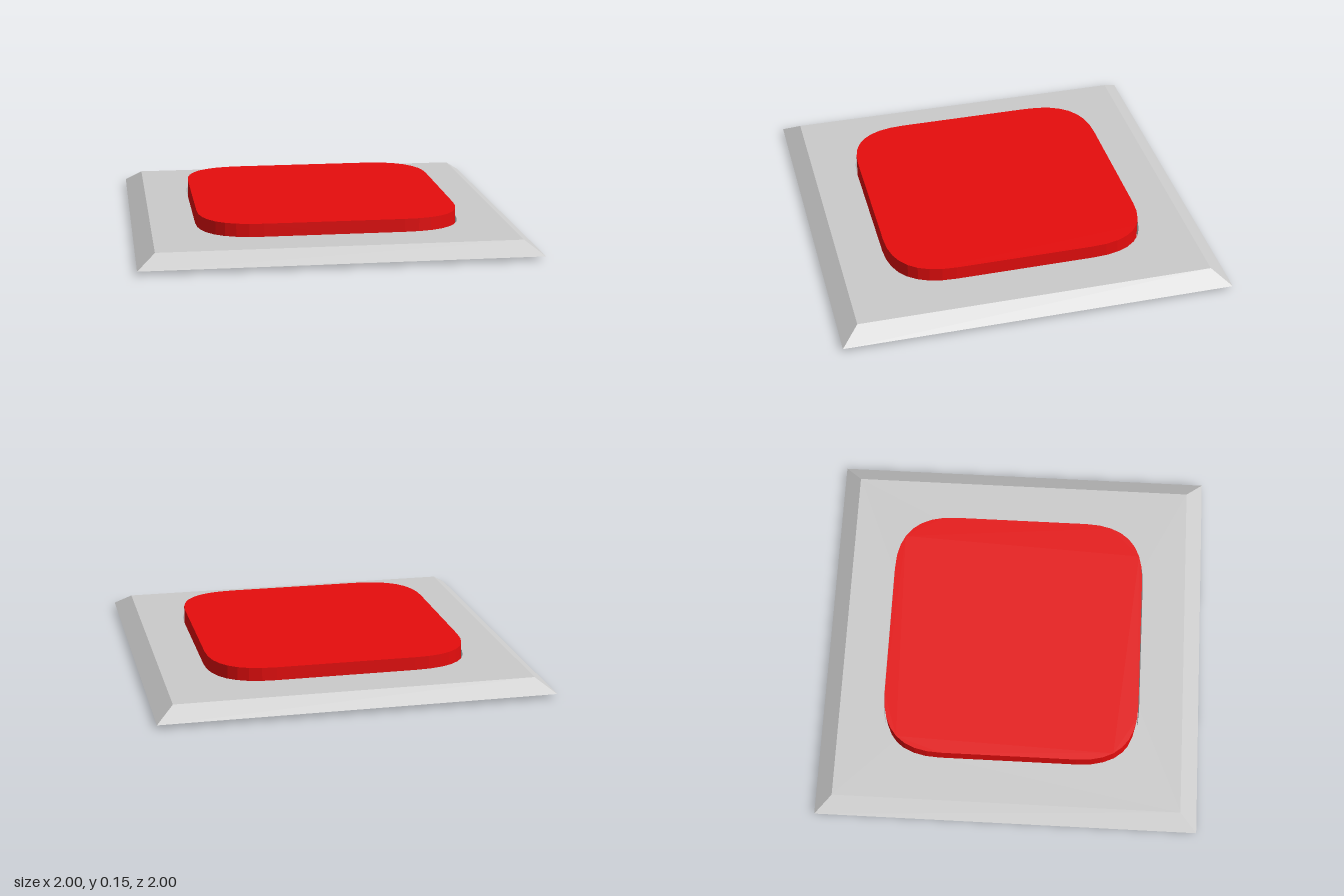
import * as THREE from 'three';

const RIM_Y = 0.02, PLATE_Y = 0.085, BUTTON_Y = 0.15;

// Square outline with soft, parabolic corners
function softSquare(h, PathType = THREE.Shape) {
  const s = h * 0.53;
  const p = new PathType();
  p.moveTo(h, -s);
  p.lineTo(h, s).quadraticCurveTo(h, h, s, h);
  p.lineTo(-s, h).quadraticCurveTo(-h, h, -h, s);
  p.lineTo(-h, -s).quadraticCurveTo(-h, -h, -s, -h);
  p.lineTo(s, -h).quadraticCurveTo(h, -h, h, -s);
  return p;
}

// Flat sheet lying at height y
function sheet(shape, y) {
  return new THREE.ShapeGeometry(shape, 8).rotateX(-Math.PI / 2).translate(0, y, 0);
}

// Upright faceted wall along an outline, facing outwards
function wall(shape, y0, y1) {
  const pts = shape.getPoints(8);
  const pos = [];
  for (let i = 0; i < pts.length - 1; i++) {
    const a = pts[i], b = pts[i + 1];
    pos.push(a.x, y0, -a.y, b.x, y0, -b.y, b.x, y1, -b.y);
    pos.push(a.x, y0, -a.y, b.x, y1, -b.y, a.x, y1, -a.y);
  }
  const g = new THREE.BufferGeometry();
  g.setAttribute('position', new THREE.Float32BufferAttribute(pos, 3));
  g.computeVertexNormals();
  return g;
}

export function createModel() {
  const model = new THREE.Group();
  const grey = new THREE.MeshStandardMaterial({ color: 0xcccccc, flatShading: true, side: THREE.DoubleSide });
  const red = new THREE.MeshStandardMaterial({ color: 0xe60d0d, flatShading: true });
  const add = (name, geometry, material) => {
    const mesh = new THREE.Mesh(geometry, material);
    mesh.name = name;
    model.add(mesh);
  };

  // Plate: thin hollow shell with a button opening and sloping edges
  const top = new THREE.Shape();
  const t = 0.91;
  top.moveTo(-t, -t).lineTo(t, -t).lineTo(t, t).lineTo(-t, t).closePath();
  top.holes.push(softSquare(0.68, THREE.Path));
  add('plateTop', sheet(top, PLATE_Y), grey);
  const bevel = new THREE.CylinderGeometry(t * Math.SQRT2, Math.SQRT2, PLATE_Y - RIM_Y, 4, 1, true, Math.PI / 4);
  add('plateBevel', bevel.translate(0, (PLATE_Y + RIM_Y) / 2, 0), grey);

  // Well: shallow cup hanging below the opening
  const well = softSquare(0.68);
  add('wellWall', wall(well, 0, PLATE_Y), grey);
  add('wellFloor', sheet(well, 0), grey);

  // Button: solid slab seated in the well
  const slab = new THREE.ExtrudeGeometry(softSquare(0.672), {
    depth: BUTTON_Y - RIM_Y, bevelEnabled: false, curveSegments: 8,
  });
  add('button', slab.rotateX(-Math.PI / 2).translate(0, RIM_Y, 0), red);

  return model;
}
